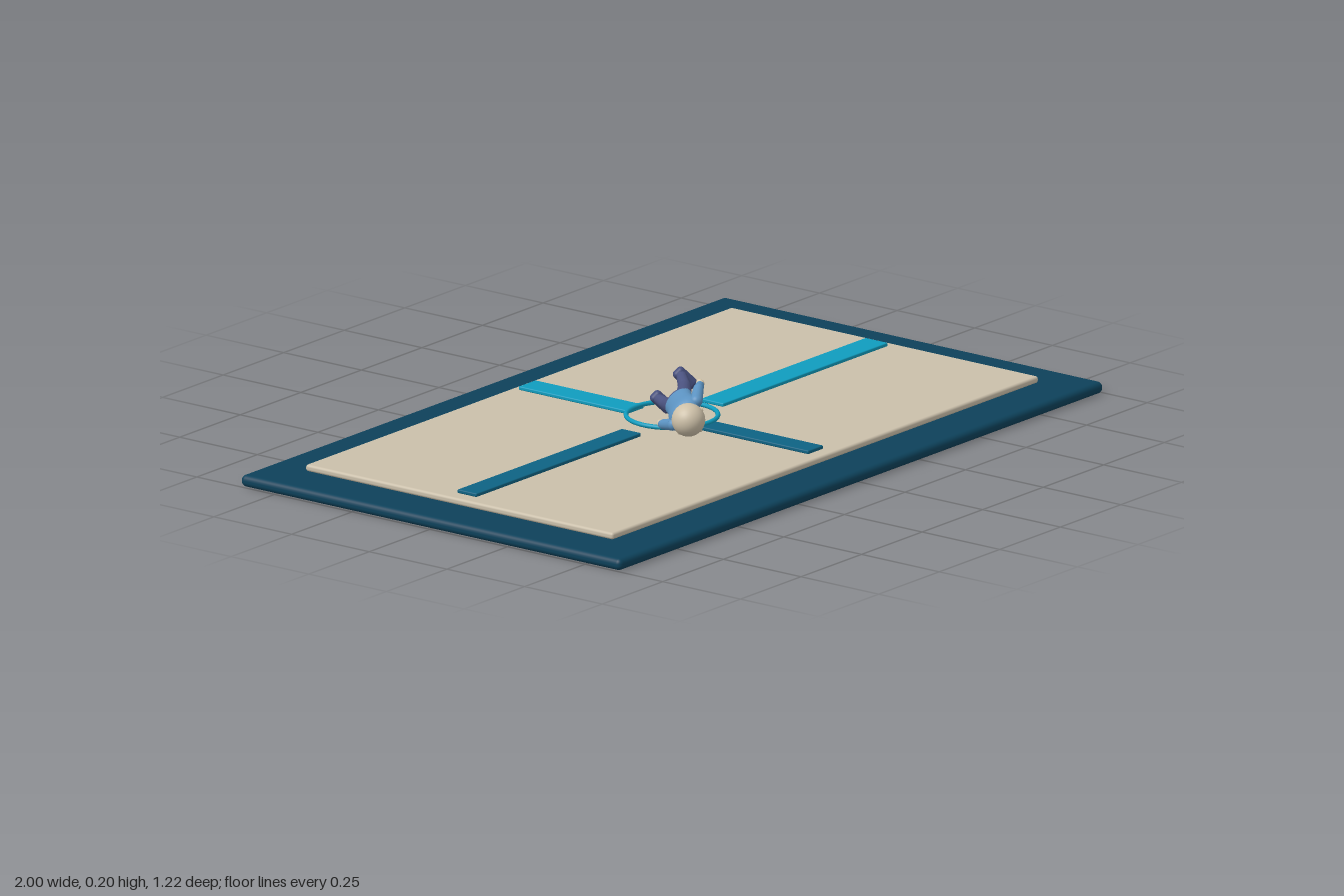
import * as THREE from 'three';
import { RoundedBoxGeometry } from 'three/addons/geometries/RoundedBoxGeometry.js';

const mat = (name, color) => {
  const m = new THREE.MeshStandardMaterial({ color });
  m.name = name;
  return m;
};

export function createModel() {
  const navy = mat('navy', 0x0d415a);
  const sand = mat('sand', 0xcabfaa);
  const cyan = mat('cyan', 0x109cbe);
  const teal = mat('teal', 0x0e6383);
  const jacketBlue = mat('jacket blue', 0x5c93c2);
  const trouserBlue = mat('trouser blue', 0x4b5380);
  const shoeBlue = mat('shoe blue', 0x454e7c);
  const skin = mat('skin', 0xd8c8ac);
  const hair = mat('hair', 0xcdc0a8);

  const add = (parent, name, geo, material, x = 0, y = 0, z = 0) => {
    const m = new THREE.Mesh(geo, material);
    m.name = name;
    m.position.set(x, y, z);
    parent.add(m);
    return m;
  };
  const slab = (w, h, d, r) => new RoundedBoxGeometry(w, h, d, 3, r);
  const ball = (rx, ry, rz) => new THREE.SphereGeometry(1, 20, 14).scale(rx, ry, rz);
  // tapered limb between two points, with rounded joints
  const limb = (parent, name, a, b, ra, rb, material) => {
    const A = new THREE.Vector3(...a), B = new THREE.Vector3(...b);
    const dir = B.clone().sub(A);
    const m = add(parent, name, new THREE.CylinderGeometry(rb, ra, dir.length(), 14), material);
    m.position.copy(A).add(B).multiplyScalar(0.5);
    m.quaternion.setFromUnitVectors(new THREE.Vector3(0, 1, 0), dir.normalize());
    add(parent, name + 'StartJoint', ball(ra, ra, ra), material, ...a);
    add(parent, name + 'EndJoint', ball(rb, rb, rb), material, ...b);
  };

  const model = new THREE.Group();
  model.name = 'swimmerBoard';

  // Layered base
  add(model, 'base', slab(2, 0.031, 1.224, 0.014), navy, 0, 0.0155, 0);
  add(model, 'panel', slab(1.76, 0.018, 0.99, 0.007), sand, 0, 0.043, 0);

  // Four bars around a ring
  add(model, 'leftBar', slab(0.68, 0.01, 0.072, 0.003), cyan, 0.505, 0.059, 0);
  add(model, 'rightBar', slab(0.68, 0.01, 0.062, 0.003), teal, -0.507, 0.059, 0);
  add(model, 'backBar', slab(0.07, 0.01, 0.35, 0.003), cyan, 0, 0.059, -0.292);
  add(model, 'frontBar', slab(0.062, 0.01, 0.35, 0.003), teal, 0, 0.059, 0.288);
  add(model, 'ring', new THREE.TorusGeometry(0.117, 0.006, 10, 64).rotateX(Math.PI / 2), cyan, 0, 0.067, 0);

  // Floating figure, modelled upright facing +z and then tilted
  const figure = new THREE.Group();
  figure.name = 'figure';
  model.add(figure);

  // Torso: oval profile from hem to collar
  const profile = [[0, 0.122], [0.036, 0.122], [0.041, 0.132], [0.039, 0.165], [0.044, 0.2],
    [0.047, 0.228], [0.04, 0.246], [0.022, 0.257], [0, 0.258]];
  const torso = new THREE.LatheGeometry(profile.map(p => new THREE.Vector2(...p)), 28).scale(1, 1, 0.64);
  add(figure, 'torso', torso, jacketBlue);
  add(figure, 'hips', ball(0.037, 0.026, 0.025), trouserBlue, 0, 0.125, 0);

  // Neck and head
  add(figure, 'neck', new THREE.CylinderGeometry(0.014, 0.016, 0.03, 16), skin, 0, 0.262, 0);
  add(figure, 'collar', new THREE.TorusGeometry(0.02, 0.006, 8, 24).rotateX(Math.PI / 2), jacketBlue, 0, 0.257, 0);
  add(figure, 'head', ball(0.038, 0.041, 0.039), skin, 0, 0.3, 0.002);
  const cap = new THREE.SphereGeometry(0.043, 24, 10, 0, Math.PI * 2, 0, Math.PI * 0.55);
  const hairCap = add(figure, 'hair', cap, hair, 0, 0.302, -0.003);
  hairCap.rotation.x = -0.4;
  hair.side = THREE.DoubleSide;
  add(figure, 'nose', ball(0.005, 0.006, 0.006), skin, 0, 0.294, 0.041);

  for (const s of [1, -1]) {
    const side = s > 0 ? 'left' : 'right';
    // Arm
    const shoulder = [s * 0.042, 0.232, 0], elbow = [s * 0.063, 0.185, -0.003];
    const wrist = [s * 0.069, 0.152, 0.004];
    limb(figure, side + 'UpperArm', shoulder, elbow, 0.016, 0.0135, jacketBlue);
    limb(figure, side + 'Forearm', elbow, wrist, 0.0135, 0.011, jacketBlue);
    add(figure, side + 'Hand', ball(0.01, 0.016, 0.011), skin, s * 0.072, 0.136, 0.006);
    add(figure, side + 'Ear', ball(0.006, 0.009, 0.007), skin, s * 0.039, 0.297, 0.004);
    // Leg
    const knee = [s * 0.032, 0.07, 0.004];
    limb(figure, side + 'Thigh', [s * 0.02, 0.125, 0], knee, 0.021, 0.017, trouserBlue);
    limb(figure, side + 'Shin', knee, [s * 0.041, 0.02, -0.004], 0.017, 0.014, trouserBlue);
    add(figure, side + 'Shoe', slab(0.034, 0.025, 0.066, 0.011), shoeBlue, s * 0.042, 0.009, 0.009);
  }

  // Lay the figure level, rolled halfway onto its right side
  const up = new THREE.Vector3(-0.68, 0, 0.73).normalize();
  const forward = new THREE.Vector3(0.52, -0.7, 0.484).normalize();
  const left = up.clone().cross(forward).normalize();
  forward.crossVectors(left, up);
  figure.quaternion.setFromRotationMatrix(new THREE.Matrix4().makeBasis(left, up, forward));
  figure.position.set(0, 0.14, -0.005);

  return model;
}
